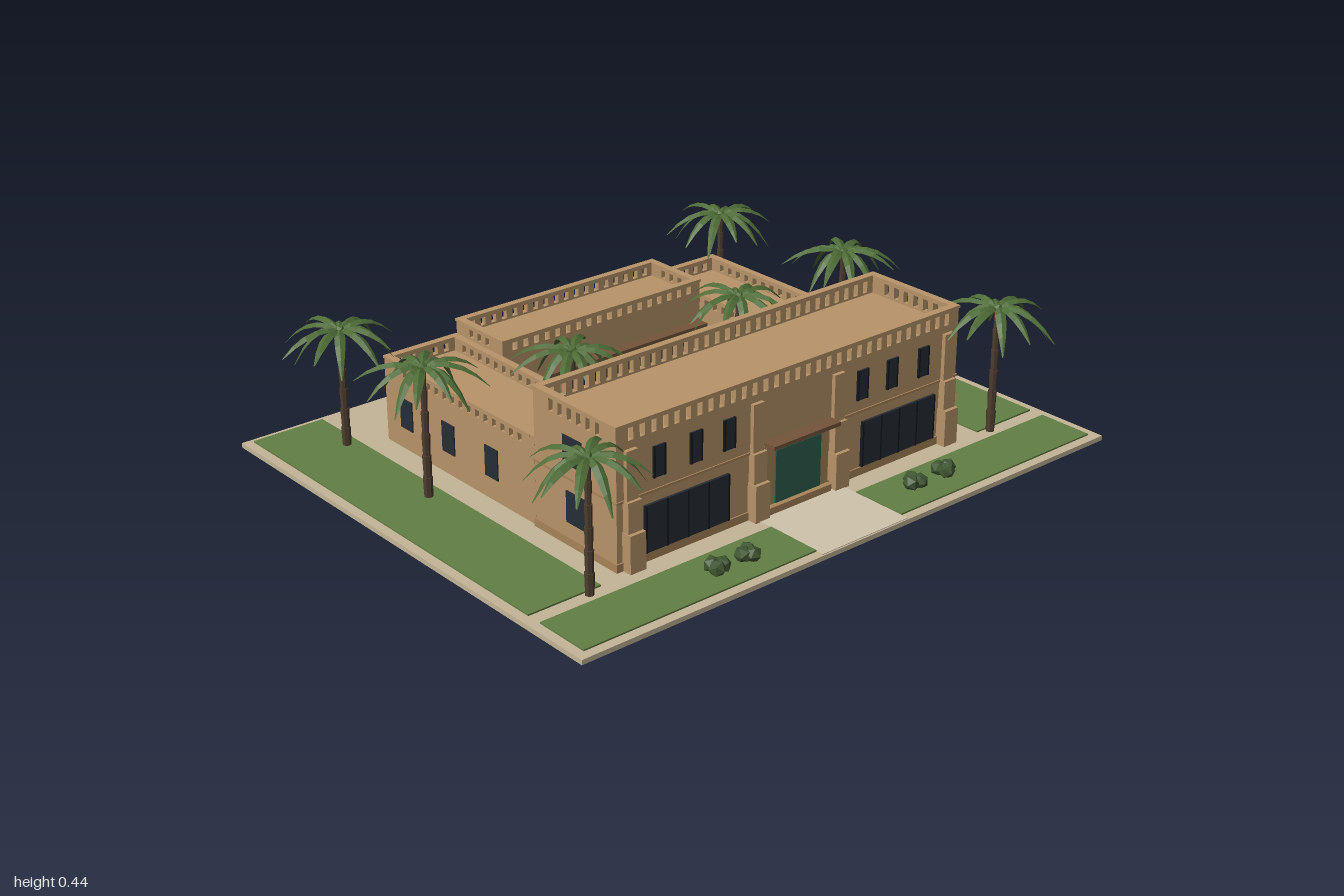
import * as THREE from 'three';
import { mergeGeometries } from 'three/addons/utils/BufferGeometryUtils.js';

const mat = (color, side = THREE.FrontSide) =>
  new THREE.MeshStandardMaterial({ color, side, flatShading: true });
const M = {
  wall: mat(0xb8936a), trim: mat(0xa9845a), sand: mat(0xc4b598), path: mat(0xcfc3aa),
  court: mat(0xb7a581), grass: mat(0x637f45), glass: mat(0x262d35), frame: mat(0x15191e),
  door: mat(0x2f5f50), wood: mat(0x75553a), water: mat(0x3d829c), trunk: mat(0x4d3d2f),
  leaf: mat(0x4d6b36, THREE.DoubleSide), shrub: mat(0x3f5631),
};
const GROUND = 0.015;

export function createModel() {
  const root = new THREE.Group();
  const add = (name, geo, material, parent = root) => {
    const mesh = new THREE.Mesh(geo, material);
    mesh.name = name;
    parent.add(mesh);
    return mesh;
  };
  // Box given by its limits on each axis
  const boxGeo = (x0, x1, y0, y1, z0, z1) =>
    new THREE.BoxGeometry(x1 - x0, y1 - y0, z1 - z0)
      .translate((x0 + x1) / 2, (y0 + y1) / 2, (z0 + z1) / 2);
  const box = (name, m, ...b) => add(name, boxGeo(...b), m);

  // Site
  box('groundSlab', M.sand, -1, 1, 0, GROUND, -0.82, 0.82);
  box('entrancePath', M.path, -0.165, 0.165, GROUND, 0.017, 0.53, 0.815);
  for (const s of [-1, 1]) {
    const span = (a, b) => (s > 0 ? [a, b] : [-b, -a]);
    box('sideLawn', M.grass, ...span(0.73, 0.97), GROUND, 0.02, -0.8, 0.56);
    box('frontLawn', M.grass, ...span(0.165, 0.97), GROUND, 0.02, 0.61, 0.79);
  }

  // Parapet run with a row of slots, built along x from its centre
  const T = 0.018;
  const parapetWall = (len, h) => {
    const shape = new THREE.Shape([[-len / 2, 0], [len / 2, 0], [len / 2, h], [-len / 2, h]]
      .map(p => new THREE.Vector2(...p)));
    const n = Math.floor((len - 0.04) / 0.04);
    for (let i = 0; i < n; i++) {
      const x = (i - (n - 1) / 2) * 0.04, w = 0.009;
      shape.holes.push(new THREE.Path([[x - w, 0.006], [x - w, h - 0.014], [x + w, h - 0.014], [x + w, 0.006]]
        .map(p => new THREE.Vector2(...p))));
    }
    const wall = new THREE.ExtrudeGeometry(shape, { depth: T, bevelEnabled: false }).translate(0, 0, -T / 2);
    const coping = new THREE.BoxGeometry(len + 0.005, 0.008, T + 0.006).translate(0, h - 0.003, 0);
    return mergeGeometries([wall.index ? wall.toNonIndexed() : wall, coping.toNonIndexed()]);
  };

  // Flat-roofed block with slotted parapets on all sides
  const block = (name, x0, x1, z0, z1, roof, top) => {
    box(name, M.wall, x0, x1, GROUND, roof, z0, z1);
    const cx = (x0 + x1) / 2, cz = (z0 + z1) / 2, h = top - roof;
    for (const z of [z0 + T / 2, z1 - T / 2])
      add(name + 'Parapet', parapetWall(x1 - x0, h), M.wall).position.set(cx, roof, z);
    for (const x of [x0 + T / 2, x1 - T / 2]) {
      const p = add(name + 'Parapet', parapetWall(z1 - z0 - 2 * T, h), M.wall);
      p.position.set(x, roof, cz);
      p.rotation.y = Math.PI / 2;
    }
  };
  block('frontBlock', -0.65, 0.65, 0.175, 0.53, 0.385, 0.442);
  block('leftWing', 0.388, 0.648, -0.56, 0.172, 0.243, 0.287);
  block('rightWing', -0.648, -0.388, -0.56, 0.172, 0.243, 0.287);
  block('backBlock', -0.386, 0.386, -0.558, -0.325, 0.291, 0.336);
  box('plinth', M.trim, -0.655, 0.655, GROUND, 0.04, 0.173, 0.535);
  box('stringCourse', M.trim, -0.654, 0.654, 0.216, 0.223, 0.173, 0.534);

  // Windows: the pane is set on a wall facing along z or x
  const winZ = (x, y0, y1, w, z, panes = 1) => {
    box('window', M.glass, x - w / 2, x + w / 2, y0, y1, z - 0.004, z + 0.004);
    for (let i = 0; i <= panes; i++) {
      const mx = x - w / 2 + (w * i) / panes;
      box('windowMullion', M.frame, mx - 0.003, mx + 0.003, y0, y1, z - 0.006, z + 0.006);
    }
  };
  const winX = (z, y0, y1, w, x) =>
    box('sideWindow', M.glass, x - 0.004, x + 0.004, y0, y1, z - w / 2, z + w / 2);

  for (const s of [-1, 1]) {
    for (const x of [0.255, 0.375, 0.505]) winZ(s * x, 0.257, 0.35, 0.037, 0.531);
    winZ(s * 0.407, 0.042, 0.185, 0.295, 0.534, 4);
    winX(0.365, 0.085, 0.18, 0.097, s * 0.65);
    for (const z of [-0.03, -0.24, -0.452]) winX(z, 0.085, 0.18, 0.06, s * 0.648);
    winZ(s * 0.185, 0.085, 0.18, 0.065, -0.558);
  }
  winX(0.345, 0.26, 0.345, 0.08, -0.65);
  winZ(-0.52, 0.085, 0.18, 0.13, -0.56);
  winZ(0, 0.255, 0.355, 0.6, 0.174, 6);
  winZ(0, 0.03, 0.2, 0.66, 0.172, 6);
  winZ(0, 0.035, 0.19, 0.62, -0.325, 6);

  // Entrance
  box('doorSurround', M.trim, -0.12, 0.12, GROUND, 0.225, 0.5, 0.537);
  box('door', M.door, -0.087, 0.087, 0.04, 0.203, 0.53, 0.542);
  box('doorStep', M.trim, -0.12, 0.12, GROUND, 0.038, 0.53, 0.555);
  box('doorCanopy', M.wood, -0.128, 0.128, 0.228, 0.24, 0.525, 0.578);

  // Stepped pilasters, narrowing upward
  for (const x of [-0.605, -0.155, 0.155, 0.605]) {
    const steps = [[GROUND, 0.13, 0.027, 0.565], [0.13, 0.222, 0.024, 0.553], [0.222, 0.368, 0.02, 0.543]];
    for (const [y0, y1, w, z] of steps) box('pilaster', M.wall, x - w, x + w, y0, y1, 0.52, z);
  }

  // Courtyard with pool and loggia beam
  box('courtyardFloor', M.court, -0.388, 0.388, GROUND, 0.02, -0.325, 0.175);
  box('poolBorder', M.path, -0.187, 0.187, 0.015, 0.024, -0.168, 0.087);
  box('poolWater', M.water, -0.167, 0.167, 0.015, 0.026, -0.146, 0.066);
  box('loggiaBeam', M.wood, -0.365, 0.36, 0.2, 0.215, -0.295, -0.258);
  for (let i = 0; i < 5; i++) {
    const x = -0.35 + i * 0.174;
    box('loggiaPost', M.wood, x - 0.007, x + 0.007, 0.02, 0.2, -0.284, -0.27);
  }

  // Palm frond: ridged blade along +x, arching then drooping
  const frondGeo = (len, droop) => {
    const pos = [], idx = [];
    const widths = [0.005, 0.013, 0.016, 0.015, 0.01, 0.002];
    widths.forEach((w, i) => {
      const t = i / (widths.length - 1);
      const r = len * t, y = 0.1 * t - (0.1 + droop) * t * t;
      pos.push(r, y - w * 0.6, -w, r, y, 0, r, y - w * 0.6, w);
      if (i) for (const k of [0, 1]) {
        const a = (i - 1) * 3 + k, b = a + 3;
        idx.push(a, a + 1, b, a + 1, b + 1, b);
      }
    });
    const g = new THREE.BufferGeometry();
    g.setAttribute('position', new THREE.Float32BufferAttribute(pos, 3));
    g.setIndex(idx);
    g.computeVertexNormals();
    return g;
  };
  const palm = (x, z, h, turn) => {
    const g = new THREE.Group();
    g.name = 'palm';
    g.position.set(x, GROUND, z);
    g.rotation.y = turn;
    root.add(g);
    const segs = 6, segH = h / segs;
    for (let i = 0; i < segs; i++) {
      const r = 0.015 - i * 0.001;
      add('trunk', new THREE.CylinderGeometry(r, r - 0.002, segH, 7).translate(0, (i + 0.5) * segH, 0), M.trunk, g);
    }
    add('crownHeart', new THREE.IcosahedronGeometry(0.016, 0).translate(0, h, 0), M.leaf, g);
    const fronds = [];
    for (let i = 0; i < 12; i++) {
      const low = i % 3 === 2;
      const len = (low ? 0.15 : 0.18) + 0.014 * Math.sin(i * 2.3 + turn);
      fronds.push(frondGeo(len, low ? 0.1 : 0.055 + 0.02 * Math.sin(i * 1.7))
        .rotateY((i / 12) * Math.PI * 2 + 0.12 * Math.sin(i * 3.1)).translate(0, h, 0));
    }
    add('fronds', mergeGeometries(fronds), M.leaf, g);
  };
  [[-0.77, -0.6, 0.375], [-0.78, -0.16, 0.405], [-0.78, 0.575, 0.4],
    [0.74, -0.625, 0.375], [0.745, -0.05, 0.405], [0.77, 0.575, 0.4],
    [-0.335, -0.055, 0.365], [0.32, -0.07, 0.36],
  ].forEach(([x, z, h], i) => palm(x, z, h, i * 0.9));

  // Shrubs: small clusters of squat low-poly domes
  for (const [x, z] of [[-0.445, 0.7], [-0.335, 0.7], [0.32, 0.69], [0.445, 0.69]])
    for (let k = 0; k < 3; k++) {
      const a = k * 2.1 + x * 9;
      const m = add('shrub', new THREE.IcosahedronGeometry(0.026, 0), M.shrub);
      m.position.set(x + 0.016 * Math.cos(a), 0.034, z + 0.016 * Math.sin(a));
      m.rotation.y = a;
    }
  return root;
}
